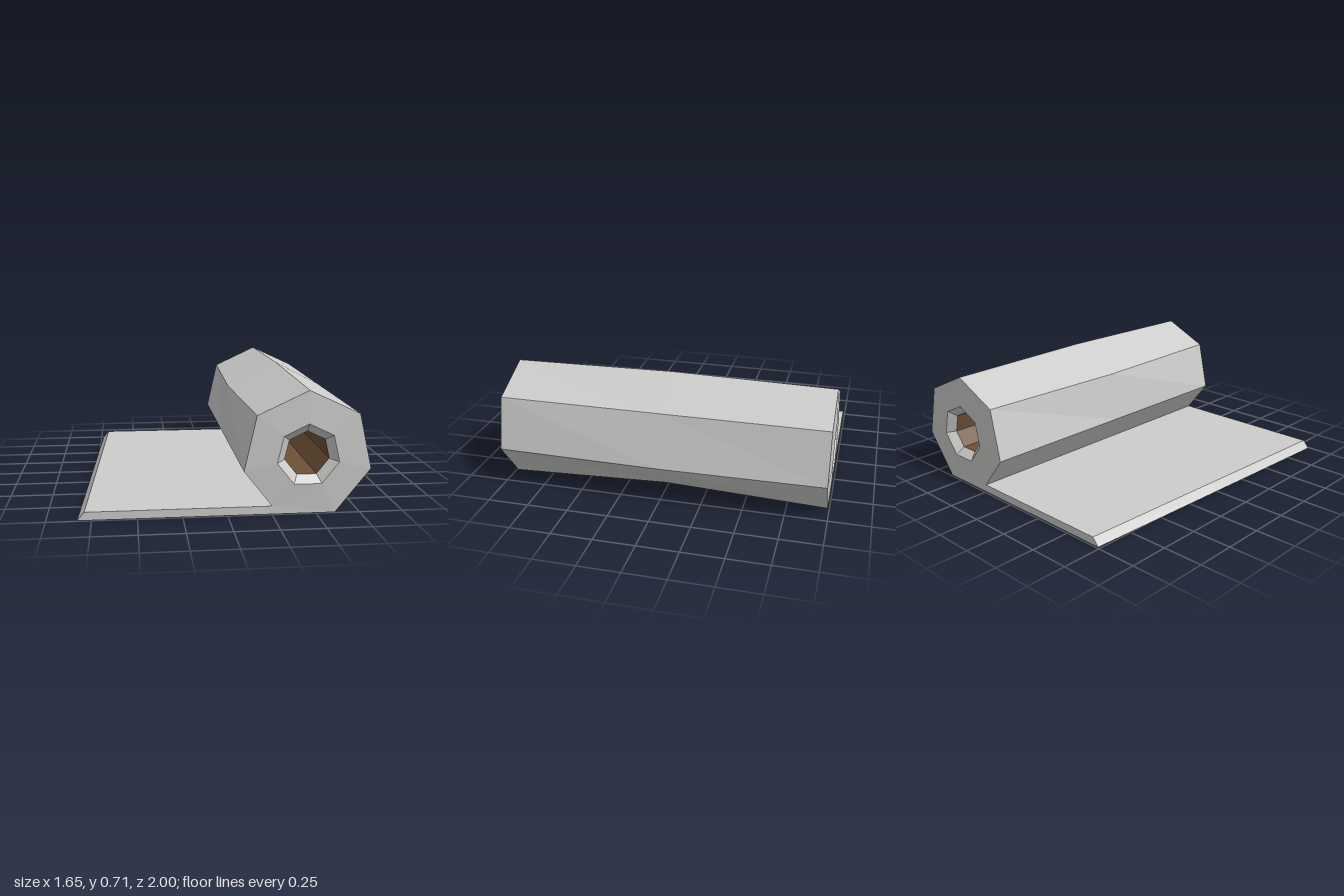
import * as THREE from 'three';

const CENTRE = [0.45, 0.335];
const RING = [0, 1, 2, 3, 6, 7, 8]; // outline corners that belong to the seven-sided roll

// Closed outline of roll plus flat sheet, clockwise seen from the front.
// shift moves the free edge of the sheet, mid is 1 at the middle of the length.
const outline = (z, shift, mid) => [
  [0.45, 0.7 + 0.015 * mid], [0.738, 0.565], [0.81 + 0.015 * mid, 0.25],
  [0.61, 0.04 * mid], [-0.83 + shift, 0], [-0.79 + shift, 0.047],
  [0.25, 0.047], [0.09, 0.25], [0.16 - 0.035 * mid, 0.565],
].map(([x, y]) => [x, y, z]);

// Seven-sided ring round the core, clockwise from the top
const heptagon = (r, z) => Array.from({ length: 7 }, (_, i) => {
  const a = (i * Math.PI * 2) / 7;
  return [CENTRE[0] + r * Math.sin(a), CENTRE[1] + r * Math.cos(a), z];
});

// Quads between two closed loops, facing outwards when the first is in front
function bridge(out, front, back, flip = false) {
  const n = front.length;
  for (let i = 0; i < n; i++) {
    const j = (i + 1) % n;
    quad(out, [front[i], front[j], back[j], back[i]], flip);
  }
}

function quad(out, [a, b, c, d], flip) {
  const tris = flip ? [c, b, a, d, c, a] : [a, b, c, a, c, d];
  tris.forEach((p) => out.push(...p));
}

function makeMesh(name, points, material) {
  const geometry = new THREE.BufferGeometry();
  geometry.setAttribute('position', new THREE.Float32BufferAttribute(points, 3));
  geometry.computeVertexNormals(); // unshared corners give flat faces
  const mesh = new THREE.Mesh(geometry, material);
  mesh.name = name;
  return mesh;
}

export function createModel() {
  const paper = new THREE.MeshStandardMaterial({ color: 0xcccccb });
  paper.name = 'grey paper';
  const card = new THREE.MeshStandardMaterial({ color: 0x6e5138 });
  card.name = 'brown card';

  const group = new THREE.Group();
  group.name = 'paperRoll';

  // Outer skin of roll and sheet, in two lengths
  const front = outline(0.99, 0, 0);
  const middle = outline(0, 0.0475, 1);
  const back = outline(-0.99, 0.095, 0);
  const skin = [];
  bridge(skin, front, middle);
  bridge(skin, middle, back);
  group.add(makeMesh('rollAndSheet', skin, paper));

  // Ends: slightly domed ring, sunken lip, and the cut end of the sheet
  for (const [name, section, side] of [['frontEnd', front, 1], ['backEnd', back, -1]]) {
    const end = [];
    const flip = side < 0;
    const outer = RING.map((i) => section[i]);
    const rim = heptagon(0.18, side);
    const lip = heptagon(0.13, side * 0.955);
    bridge(end, rim, outer, flip);
    bridge(end, lip, rim, flip);
    quad(end, [section[6], section[5], section[4], section[3]], flip);
    group.add(makeMesh(name, end, paper));
  }

  // Inside of the card core
  const core = [];
  bridge(core, heptagon(0.13, 0.955), heptagon(0.13, -0.955), true);
  group.add(makeMesh('cardCore', core, card));

  return group;
}
